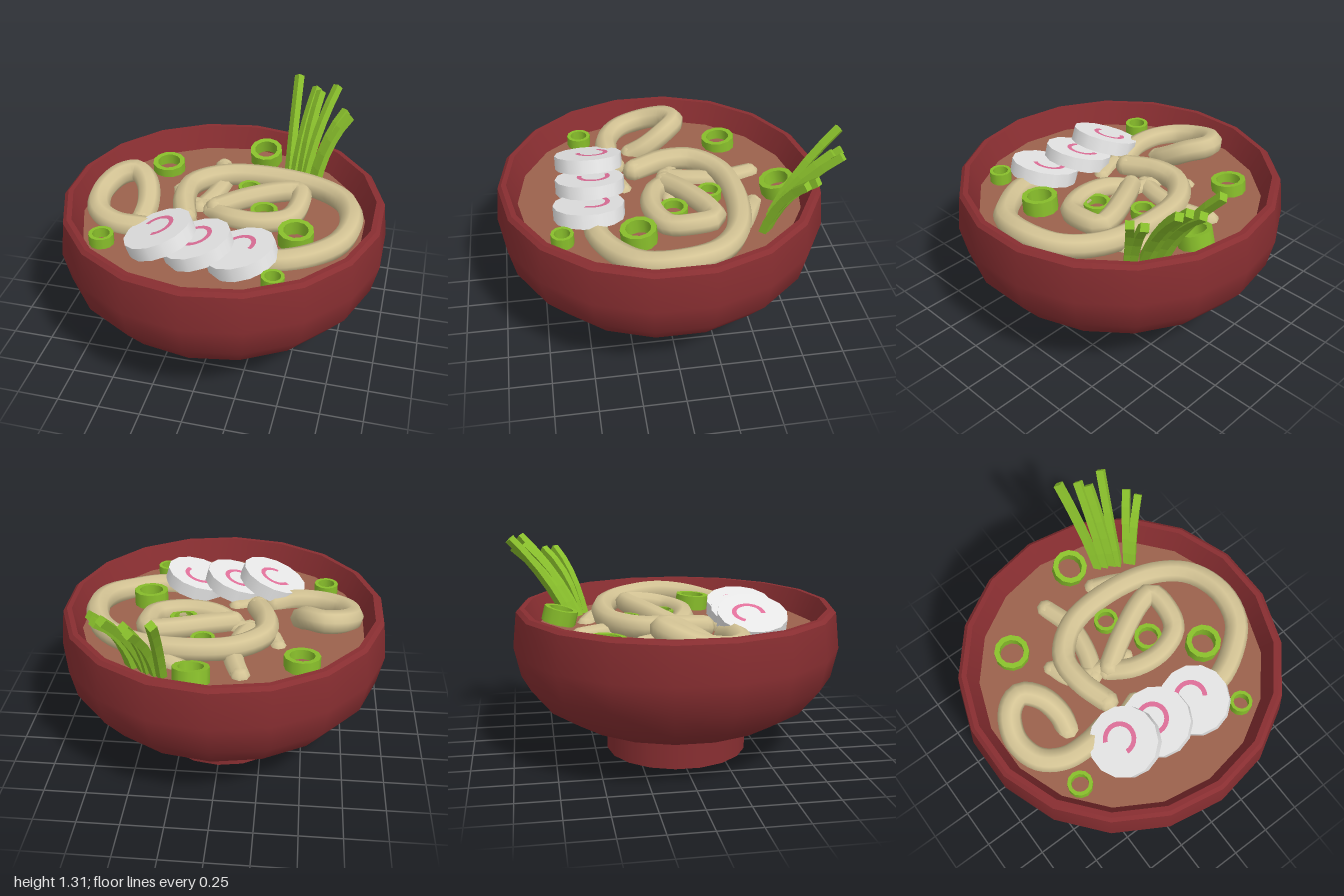
import * as THREE from 'three';
import { mergeGeometries } from 'three/addons/utils/BufferGeometryUtils.js';

const mat = (name, color, side = THREE.FrontSide) => {
  const m = new THREE.MeshStandardMaterial({ color, side });
  m.name = name;
  return m;
};
const V = (p) => new THREE.Vector3(...p);

export function createModel() {
  const lacquer = mat('red lacquer', 0x882e31);
  const broth = mat('broth brown', 0x9b624c);
  const dough = mat('noodle tan', 0xd3c394);
  const white = mat('fish cake white', 0xf0f0f0);
  const pink = mat('swirl pink', 0xe0709a, THREE.DoubleSide);
  const green = mat('onion green', 0x88be2b);

  const model = new THREE.Group();
  const add = (name, geometry, material, parent = model) => {
    const mesh = new THREE.Mesh(geometry, material);
    mesh.name = name;
    parent.add(mesh);
    return mesh;
  };

  // Bowl: separate lathe bands keep the rim edges sharp
  const bowl = new THREE.Group();
  bowl.name = 'bowl';
  bowl.position.z = 0.008;
  model.add(bowl);
  const SIDES = 18, SOUP = 0.765;
  const band = (name, pts) => add(name,
    new THREE.LatheGeometry(pts.map((p) => new THREE.Vector2(...p)), SIDES), lacquer, bowl);
  band('bowlWall', [[0.42, 0.16], [0.65, 0.235], [0.82, 0.335], [0.945, 0.49], [0.985, 0.67], [0.962, 0.885]]);
  band('bowlRimBevel', [[0.962, 0.885], [0.94, 0.905]]);
  band('bowlRim', [[0.94, 0.905], [0.91, 0.905]]);
  band('bowlInside', [[0.91, 0.905], [0.855, SOUP], [0.84, 0.72]]);
  add('foot', new THREE.CylinderGeometry(0.432, 0.432, 0.166, SIDES), lacquer, bowl).position.y = 0.083;
  const soup = add('broth', new THREE.CircleGeometry(0.857, SIDES).rotateX(-Math.PI / 2).rotateY(Math.PI / 2), broth, bowl);
  soup.position.y = SOUP;

  // Noodles: round tubes with rounded ends
  const noodle = (name, pts, r = 0.07) => {
    const curve = new THREE.CatmullRomCurve3(pts.map(([x, z, y = 0.81]) => V([x, y, z])));
    const parts = [new THREE.TubeGeometry(curve, pts.length * 4, r, 8)];
    for (const t of [0, 1]) {
      const p = curve.getPoint(t);
      parts.push(new THREE.SphereGeometry(r * 0.99, 8, 6).translate(p.x, p.y, p.z));
    }
    add(name, mergeGeometries(parts), dough);
  };
  noodle('leftNoodle', [[-0.48, 0.13, 0.74], [-0.47, 0.03, 0.8], [-0.51, -0.09, 0.87], [-0.6, -0.17, 0.895],
    [-0.7, -0.13, 0.88], [-0.77, 0.02, 0.83], [-0.73, 0.18, 0.8], [-0.6, 0.27, 0.79], [-0.42, 0.28, 0.79], [-0.3, 0.25, 0.77]]);
  noodle('outerNoodle', [[0.25, 0.42, 0.77], [0.42, 0.42, 0.79], [0.6, 0.33, 0.8], [0.73, 0.2, 0.82], [0.77, 0, 0.84],
    [0.7, -0.22, 0.83], [0.52, -0.36, 0.82], [0.22, -0.42, 0.82], [-0.08, -0.38, 0.82], [-0.25, -0.23, 0.82],
    [-0.26, -0.05, 0.82], [-0.2, 0.14, 0.8]]);
  noodle('innerNoodle', [[-0.08, -0.03, 0.76], [0.06, 0.06, 0.79], [0.24, 0.08, 0.8], [0.4, 0.01, 0.81], [0.44, -0.12, 0.83],
    [0.42, -0.25, 0.84], [0.33, -0.24, 0.84], [0.1, -0.13, 0.82], [-0.06, -0.03, 0.79]], 0.065);
  noodle('sunkenNoodle', [[-0.14, -0.58, 0.75], [-0.09, -0.4, 0.76], [-0.11, -0.2, 0.76], [-0.16, -0.05, 0.75]], 0.062);
  noodle('crossNoodle', [[-0.34, -0.24, 0.74], [-0.28, -0.11, 0.75], [-0.1, -0.06, 0.76], [0.07, -0.04, 0.735]], 0.055);
  noodle('backNoodle', [[0.18, -0.53, 0.74], [0.28, -0.48, 0.76], [0.4, -0.42, 0.76]], 0.06);
  noodle('middleNoodle', [[-0.06, 0.22, 0.745], [-0.16, 0.26, 0.755], [-0.28, 0.28, 0.75]], 0.055);

  // Fish cake slices leaning on each other, each with a swirl: x, y, z, swirl start and length
  [[-0.275, 0.855, 0.415, -1.7, 4.4], [-0.05, 0.828, 0.425, -1.9, 3.9], [0.21, 0.825, 0.452, -0.6, 3.2]]
    .forEach(([x, y, z, start, length], i) => {
      const slice = new THREE.Group();
      slice.name = 'fishCake' + (i + 1);
      slice.position.set(x, y, z);
      slice.rotation.z = [0.36, 0.3, 0.28][i];
      model.add(slice);
      add('slice', new THREE.CylinderGeometry(0.208, 0.208, 0.085, 14), white, slice);
      const swirl = new THREE.RingGeometry(0.072, 0.1, 16, 1, start, length).rotateX(-Math.PI / 2);
      add('swirl', swirl, pink, slice).position.set(-0.005, 0.046, -0.025);
    });

  // Spring onion rings: x, z, outer radius, y of the middle, tilt
  const onion = (r, h) => {
    const inner = r * 0.7;
    const pieces = [[[r, -h], [r, h]], [[r, h], [inner, h]], [[inner, h], [inner, -h]], [[inner, -h], [r, -h]]];
    return mergeGeometries(pieces.map((p) =>
      new THREE.LatheGeometry(p.map((q) => new THREE.Vector2(...q)), 12)));
  };
  [[-0.48, -0.45, 0.105, 0.785, 0.1], [-0.62, 0.45, 0.074, 0.785, 0], [0.425, 0.62, 0.066, 0.79, 0],
    [0.475, 0.195, 0.105, 0.82, 0.08], [0.24, -0.04, 0.085, 0.775, 0], [0.1, -0.28, 0.074, 0.775, 0],
    [0.12, -0.69, 0.105, 0.83, 0.25]].forEach(([x, z, r, y, tilt], i) => {
    const ring = add('onionRing' + (i + 1), onion(r, 0.045), green);
    ring.position.set(x, y, z);
    ring.rotation.x = tilt;
  });

  // Chives: square stalks that rise and lean over the back rim
  const chive = (base, tip, i) => {
    const mid = [base[0] + (tip[0] - base[0]) * 0.25, 1.04, base[2] + (tip[2] - base[2]) * 0.35];
    const curve = new THREE.QuadraticBezierCurve3(V(base), V(mid), V(tip));
    const tube = new THREE.TubeGeometry(curve, 5, 0.032, 4).toNonIndexed();
    tube.computeVertexNormals();
    const stalk = add('chive' + (i + 1), tube, green);
    const cap = add('chiveTip', new THREE.CircleGeometry(0.032, 4), green, stalk);
    // Align the cap corners with the last ring of the stalk
    const frames = curve.computeFrenetFrames(5, false);
    const basis = new THREE.Matrix4().makeBasis(frames.normals[5].clone().negate(),
      frames.binormals[5].clone().negate(), frames.tangents[5]);
    if (basis.determinant() > 0) cap.quaternion.setFromRotationMatrix(basis);
    else cap.quaternion.setFromUnitVectors(new THREE.Vector3(0, 0, 1), frames.tangents[5]);
    cap.position.copy(V(tip));
  };
  [[[0.29, 0.75, -0.62], [0.272, 1.285, -0.975]], [[0.33, 0.75, -0.6], [0.395, 1.22, -0.955]],
    [[0.375, 0.75, -0.58], [0.43, 1.225, -0.895]], [[0.4, 0.75, -0.56], [0.535, 1.265, -0.915]],
    [[0.46, 0.75, -0.54], [0.615, 1.17, -0.765]], [[0.48, 0.75, -0.52], [0.65, 1.17, -0.695]]]
    .forEach(([base, tip], i) => chive(base, tip, i));

  return model;
}
